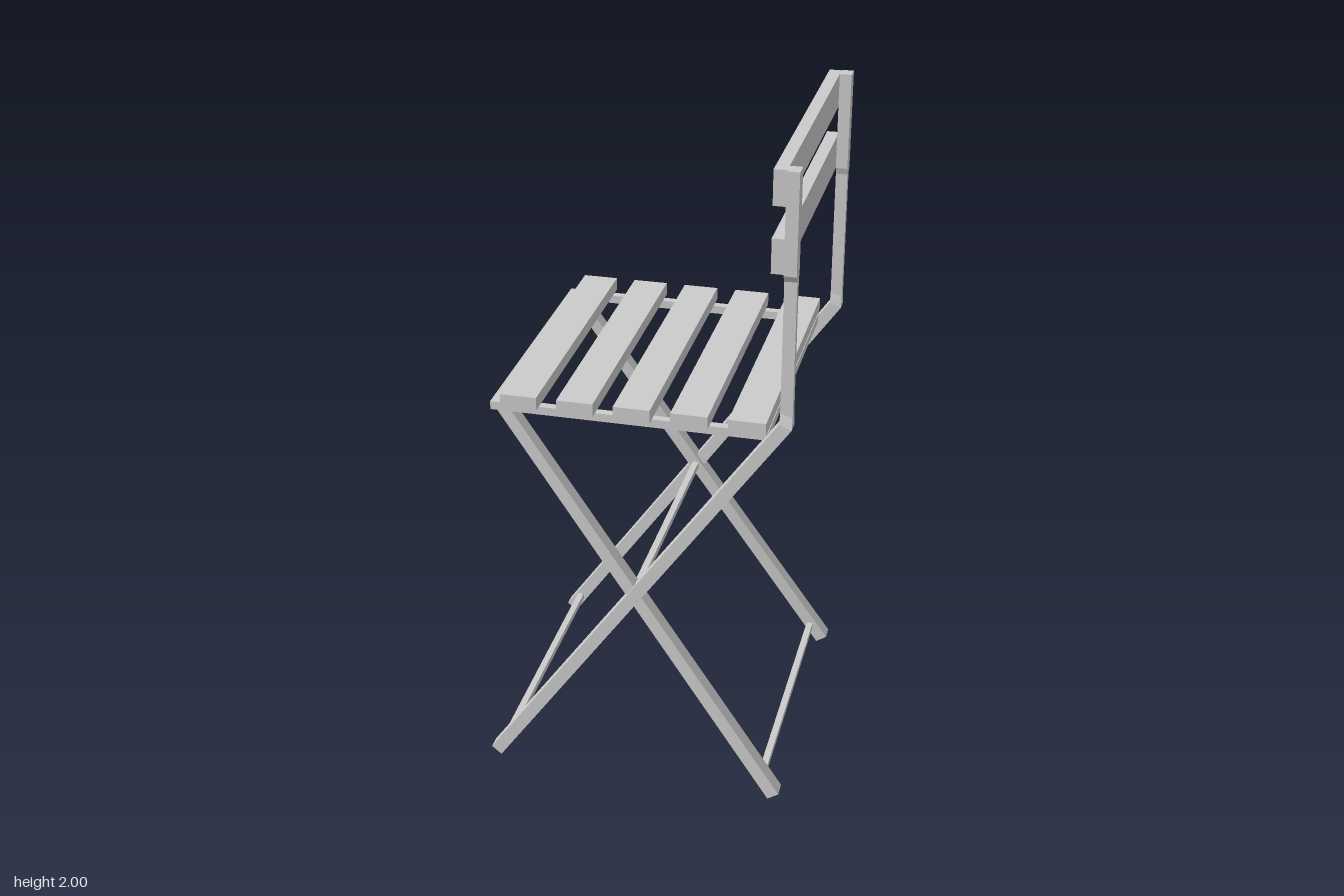
import * as THREE from 'three';

const material = new THREE.MeshStandardMaterial({ color: 0xcccccc, flatShading: true });

function addBox(parent, name, [x0, x1], [y0, y1], [z0, z1]) {
  const mesh = new THREE.Mesh(new THREE.BoxGeometry(x1 - x0, y1 - y0, z1 - z0), material);
  mesh.position.set((x0 + x1) / 2, (y0 + y1) / 2, (z0 + z1) / 2);
  mesh.name = name;
  parent.add(mesh);
  return mesh;
}

// Four-sided bar through sections [xA, yA, xB, yB, zInner, zOuter], listed upwards.
// side = 1 or -1 mirrors it in z.
function addBar(parent, name, sections, side) {
  const rings = sections.map(([xa, ya, xb, yb, zi, zo]) => [
    [xa, ya, zi * side], [xb, yb, zi * side], [xb, yb, zo * side], [xa, ya, zo * side],
  ]);
  const positions = [];
  const quad = (a, b, c, d) => {
    const corners = side > 0 ? [a, b, c, a, c, d] : [a, c, b, a, d, c];
    corners.forEach((p) => positions.push(...p));
  };
  quad(...rings[0]);
  quad(...[...rings[rings.length - 1]].reverse());
  for (let r = 0; r < rings.length - 1; r++) {
    const low = rings[r], high = rings[r + 1];
    for (let i = 0; i < 4; i++) {
      const j = (i + 1) % 4;
      quad(low[i], high[i], high[j], low[j]);
    }
  }
  const geometry = new THREE.BufferGeometry();
  geometry.setAttribute('position', new THREE.Float32BufferAttribute(positions, 3));
  geometry.computeVertexNormals();
  const mesh = new THREE.Mesh(geometry, material);
  mesh.name = name;
  parent.add(mesh);
}

export function createModel() {
  const chair = new THREE.Group();
  chair.name = 'foldingChair';

  // Long legs that bend up into the back posts; the posts are pinched in the middle
  const longLeg = [
    [-0.458, 0.025, -0.428, 0.0, 0.4, 0.44],
    [0.42, 1.27, 0.455, 1.255, 0.4, 0.44],
    [0.42, 1.30, 0.455, 1.29, 0.407, 0.43],
    [0.42, 1.69, 0.455, 1.69, 0.407, 0.43],
    [0.42, 1.71, 0.455, 1.71, 0.4, 0.443],
    [0.42, 2.0, 0.455, 2.0, 0.4, 0.443],
  ];
  // Short legs that splay outwards towards the floor
  const shortLeg = [
    [0.422, 0.0, 0.455, 0.022, 0.41, 0.457],
    [-0.405, 1.205, -0.362, 1.205, 0.363, 0.407],
  ];
  for (const side of [1, -1]) {
    addBar(chair, 'longLegAndBackPost', longLeg, side);
    addBar(chair, 'shortLeg', shortLeg, side);
    addBox(chair, 'seatRail', [-0.41, 0.385], [1.2, 1.225],
      side > 0 ? [0.385, 0.41] : [-0.41, -0.385]);
  }

  // Cross members of the seat frame
  addBox(chair, 'seatFrameBar', [-0.42, -0.39], [1.2, 1.225], [-0.41, 0.41]);
  addBox(chair, 'seatFrameBar', [0.36, 0.385], [1.2, 1.225], [-0.41, 0.41]);

  // Seat slats
  for (let i = 0; i < 5; i++) {
    const x = -0.328 + i * 0.1645;
    addBox(chair, 'seatSlat', [x - 0.053, x + 0.053], [1.225, 1.264], [-0.438, 0.434]);
  }

  // Backrest slats
  for (const y of [1.71, 1.9]) {
    addBox(chair, 'backSlat', [0.384, 0.42], [y, y + 0.1], [-0.438, 0.434]);
  }

  // Stretchers: one at the crossing, one between each pair of feet
  for (const [x, y, half] of [[0, 0.648, 0.39], [-0.41, 0.062, 0.41], [0.397, 0.062, 0.42]]) {
    addBox(chair, 'stretcher', [x - 0.01, x + 0.01], [y - 0.01, y + 0.01], [-half, half]);
  }
  return chair;
}
